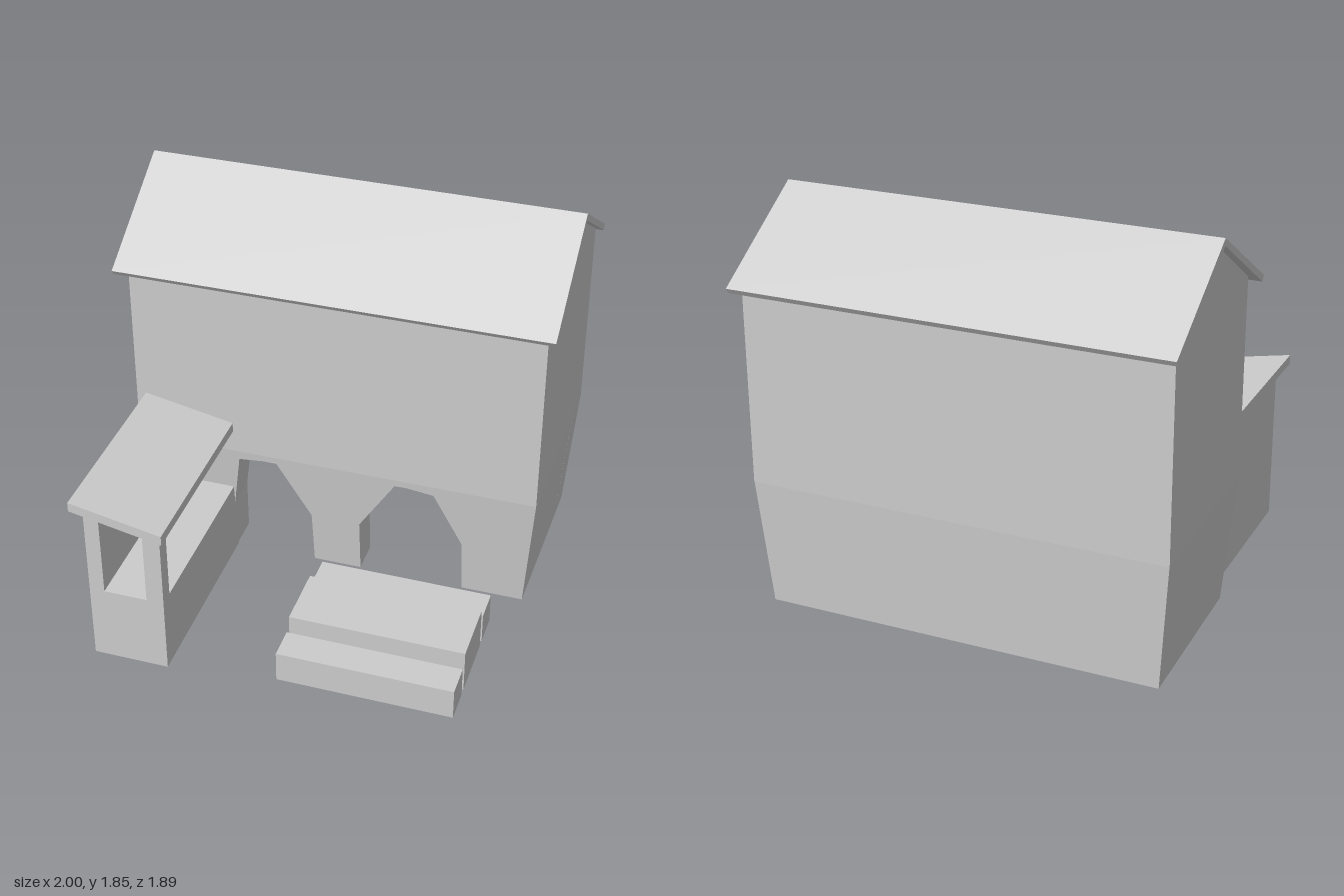
import * as THREE from 'three';

const grey = new THREE.MeshStandardMaterial({ color: 0xcccccc, flatShading: true });
const greyThin = new THREE.MeshStandardMaterial({ color: 0xcccccc, flatShading: true, side: THREE.DoubleSide });

const W = 0.92, DEPTH = 0.83, STOREY = 0.6, WALL = 0.16;

function add(parent, name, geometry, material = grey) {
  const mesh = new THREE.Mesh(geometry, material);
  mesh.name = name;
  parent.add(mesh);
  return mesh;
}

// Box given by its limits on each axis
function block(x0, x1, y0, y1, z0, z1) {
  return new THREE.BoxGeometry(x1 - x0, y1 - y0, z1 - z0)
    .translate((x0 + x1) / 2, (y0 + y1) / 2, (z0 + z1) / 2);
}

function moveVertices(geometry, rule) {
  const p = geometry.attributes.position;
  const v = new THREE.Vector3();
  for (let i = 0; i < p.count; i++) {
    v.fromBufferAttribute(p, i);
    rule(v);
    p.setXYZ(i, v.x, v.y, v.z);
  }
  geometry.computeVertexNormals();
  return geometry;
}

const polygon = (points) => new THREE.Shape(points.map(([a, b]) => new THREE.Vector2(a, b)));

// Outline in (x, y), extruded from z0 to z1
function alongZ(points, z0, z1) {
  return new THREE.ExtrudeGeometry(polygon(points), { depth: z1 - z0, bevelEnabled: false }).translate(0, 0, z0);
}

// Outline in (z, y), extruded from -half to half along x
function alongX(points, half) {
  return new THREE.ExtrudeGeometry(polygon(points.map(([z, y]) => [-z, y])), { depth: half * 2, bevelEnabled: false })
    .rotateY(Math.PI / 2).translate(-half, 0, 0);
}

// Outer walls flare outwards up to the storey line and widen slightly to the back
function flare(v) {
  const y = Math.min(v.y, STOREY);
  if (Math.abs(v.x) > 0.9) v.x = Math.sign(v.x) * (0.91 + 0.075 * y - 0.018 * v.z);
  v.z += y * (0.1 + 0.2 * v.z);
}

function house() {
  const g = new THREE.Group();
  g.name = 'house';

  // Ground floor: front wall with two arches, side walls, back wall
  const front = alongZ([
    [-W, 0], [-0.505, 0], [-0.5, 0.27], [-0.46, 0.553], [-0.28, 0.572], [-0.115, 0.28], [-0.11, 0],
    [0.12, 0], [0.12, 0.28], [0.3, 0.572], [0.48, 0.55], [0.615, 0.28], [0.62, 0],
    [W, 0], [W, STOREY], [-W, STOREY],
  ], -WALL, 0);
  add(g, 'archedFrontWall', moveVertices(front, flare));
  for (const s of [-1, 1]) {
    const outer = s * W, inner = s * (W - 0.18);
    const side = block(Math.min(outer, inner), Math.max(outer, inner), 0, STOREY, -DEPTH, -WALL);
    add(g, s > 0 ? 'leftLowerWall' : 'rightLowerWall', moveVertices(side, flare));
  }
  add(g, 'lowerBackWall', moveVertices(block(-W, W, 0, STOREY, -DEPTH, -DEPTH + WALL), flare));

  // Upper floor with gables
  const upper = alongX([[0.06, STOREY], [0.06, 1.54], [-0.41, 1.82], [-0.87, 1.54], [-0.87, STOREY]], W);
  add(g, 'upperFloor', moveVertices(upper, (v) => { v.x = Math.sign(v.x) * (0.956 - 0.017 * v.z); }));

  // Pitched roof with overhanging eaves
  add(g, 'roof', alongX([
    [0.138, 1.52], [-0.41, 1.85], [-0.945, 1.52], [-0.928, 1.495], [-0.41, 1.817], [0.12, 1.495],
  ], 1));
  return g;
}

function stall() {
  const g = new THREE.Group();
  g.name = 'stall';
  const x0 = -0.85, x1 = -0.5, z1 = 0.93, counter = 0.37;
  const under = (x) => 0.797 - (x + 0.91) * 0.205;

  // Counter box, open below
  const base = block(x0, x1, 0, counter, 0.0, z1);
  const index = Array.from(base.index.array);
  index.splice(18, 6);
  base.setIndex(index);
  add(g, 'counter', base, greyThin);

  // Posts and outer wall with tops cut to the roof slope
  const upright = (name, a, b, za, zb) => add(g, name,
    alongZ([[a, counter], [b, counter], [b, under(b)], [a, under(a)]], za, zb));
  upright('stallWall', x0, -0.78, 0.0, z1);
  upright('cornerPost', -0.58, x1, 0.86, z1);

  // Sloping roof slab
  add(g, 'stallRoof', alongZ([[-0.91, 0.795], [-0.485, 0.708], [-0.485, 0.755], [-0.91, 0.84]], 0.03, 0.945));
  return g;
}

function picnicTable() {
  const g = new THREE.Group();
  g.name = 'picnicTable';
  add(g, 'table', block(-0.01, 0.8, 0, 0.21, 0.375, 0.675));
  for (const [name, z] of [['innerBench', 0.19], ['outerBench', 0.71]]) {
    add(g, name, block(-0.01, 0.8, 0, 0.15, z, z + 0.15));
  }
  return g;
}

export function createModel() {
  const model = new THREE.Group();
  model.name = 'houseWithStall';
  model.add(house(), stall(), picnicTable());
  return model;
}
